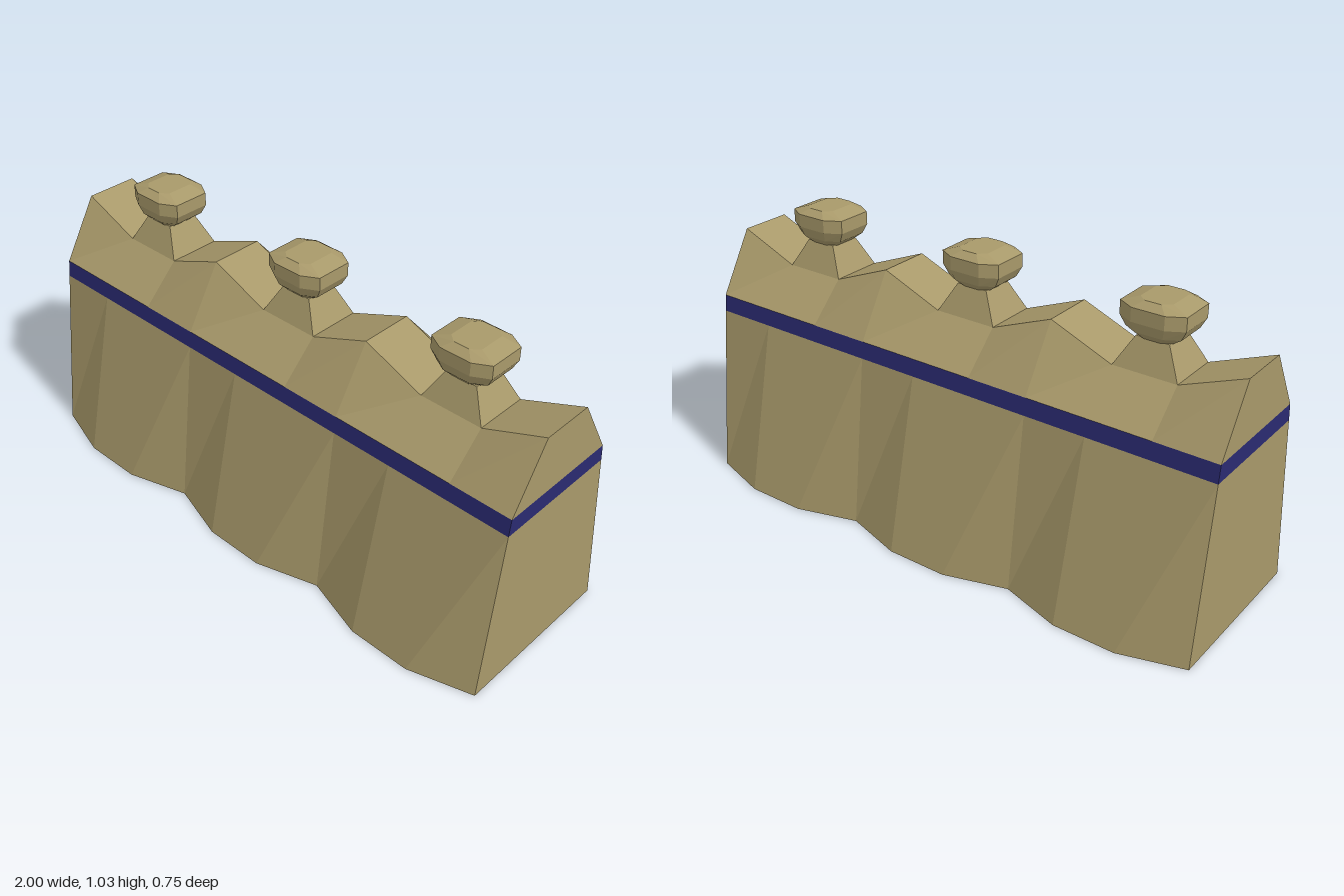
import * as THREE from 'three';
import { ConvexGeometry } from 'three/addons/geometries/ConvexGeometry.js';

const stone = new THREE.MeshStandardMaterial({ color: 0xa8996a, flatShading: true });
const blue = new THREE.MeshStandardMaterial({ color: 0x2a2a70, flatShading: true });

const SPACING = 0.667; // distance between the three bays
const HALF = 0.112; // half width of a bay's flat middle

// Solid lofted along x; each station is { x, yb, zb, yt, zt }: a symmetric trapezoid section.
function loft(stations, { top = true, bottom = true } = {}) {
  const rings = stations.map(({ x, yb, zb, yt, zt }) => [
    [x, yb, zb], [x, yt, zt], [x, yt, -zt], [x, yb, -zb],
  ]);
  const pos = [];
  const quad = (a, b, c, d) => pos.push(...a, ...b, ...c, ...a, ...c, ...d);
  for (let i = 0; i < rings.length - 1; i++) {
    const r = rings[i], s = rings[i + 1];
    for (let k = 0; k < 4; k++) {
      if ((k === 1 && !top) || (k === 3 && !bottom)) continue;
      const n = (k + 1) % 4;
      quad(r[k], s[k], s[n], r[n]);
    }
  }
  const [a, b, c, d] = rings[0];
  quad(a, b, c, d);
  const [e, f, g, h] = rings[rings.length - 1];
  quad(e, h, g, f);
  const geo = new THREE.BufferGeometry();
  geo.setAttribute('position', new THREE.Float32BufferAttribute(pos, 3));
  geo.computeVertexNormals();
  return geo;
}

function add(parent, name, geometry, material) {
  const mesh = new THREE.Mesh(geometry, material);
  mesh.name = name;
  parent.add(mesh);
  return mesh;
}

export function createModel() {
  const model = new THREE.Group();
  model.name = 'wallSegment';

  // Stations alternate between the low joints and the flat middle of each bay
  const joints = [{ x: -1, mid: false }];
  for (const c of [-SPACING, 0, SPACING]) {
    joints.push({ x: c - HALF, mid: true }, { x: c + HALF, mid: true });
    joints.push({ x: Math.min(1, c + SPACING / 2), mid: false });
  }

  // Sloping wall whose foot bulges outward at each bay
  add(model, 'wall', loft(joints.map(({ x, mid }) => (
    { x, yb: 0, zb: mid ? 0.373 : 0.306, yt: 0.615, zt: 0.233 })), { top: false }), stone);

  // Coloured stripe
  add(model, 'stripe', loft([-1, 1].map((x) => (
    { x, yb: 0.615, zb: 0.233, yt: 0.675, zt: 0.226 })), { top: false, bottom: false }), blue);

  // Coping with a zigzag ridge, dipping at each bay
  add(model, 'coping', loft(joints.map(({ x, mid }) => (
    { x, yb: 0.675, zb: 0.226, yt: mid ? 0.803 : 0.892, zt: 0.095 })), { bottom: false }), stone);

  // Tapered neck
  const neckPoints = [];
  for (const [y, hx, hz] of [[0.803, HALF, 0.095], [0.902, 0.057, 0.057]])
    for (const sx of [-1, 1]) for (const sz of [-1, 1])
      neckPoints.push(new THREE.Vector3(sx * hx, y, sz * hz));
  const neckGeo = new ConvexGeometry(neckPoints);

  // Faceted cap stone: eight-sided rings, [y, half width, half depth]
  const capPoints = [];
  for (const [y, hx, hz] of [
    [0.897, 0.057, 0.057], [0.925, 0.094, 0.085], [0.96, HALF, 0.097],
    [1.006, HALF, 0.097], [1.026, 0.055, 0.07],
  ])
    for (const sx of [-1, 1]) for (const sz of [-1, 1]) {
      capPoints.push(new THREE.Vector3(sx * hx, y, sz * hz * 0.67));
      capPoints.push(new THREE.Vector3(sx * hx * 0.5, y, sz * hz));
    }
  const capGeo = new ConvexGeometry(capPoints);

  for (const x of [-SPACING, 0, SPACING]) {
    const finial = new THREE.Group();
    finial.name = 'finial';
    finial.position.x = x;
    add(finial, 'neck', neckGeo, stone);
    add(finial, 'cap', capGeo, stone);
    model.add(finial);
  }
  return model;
}
